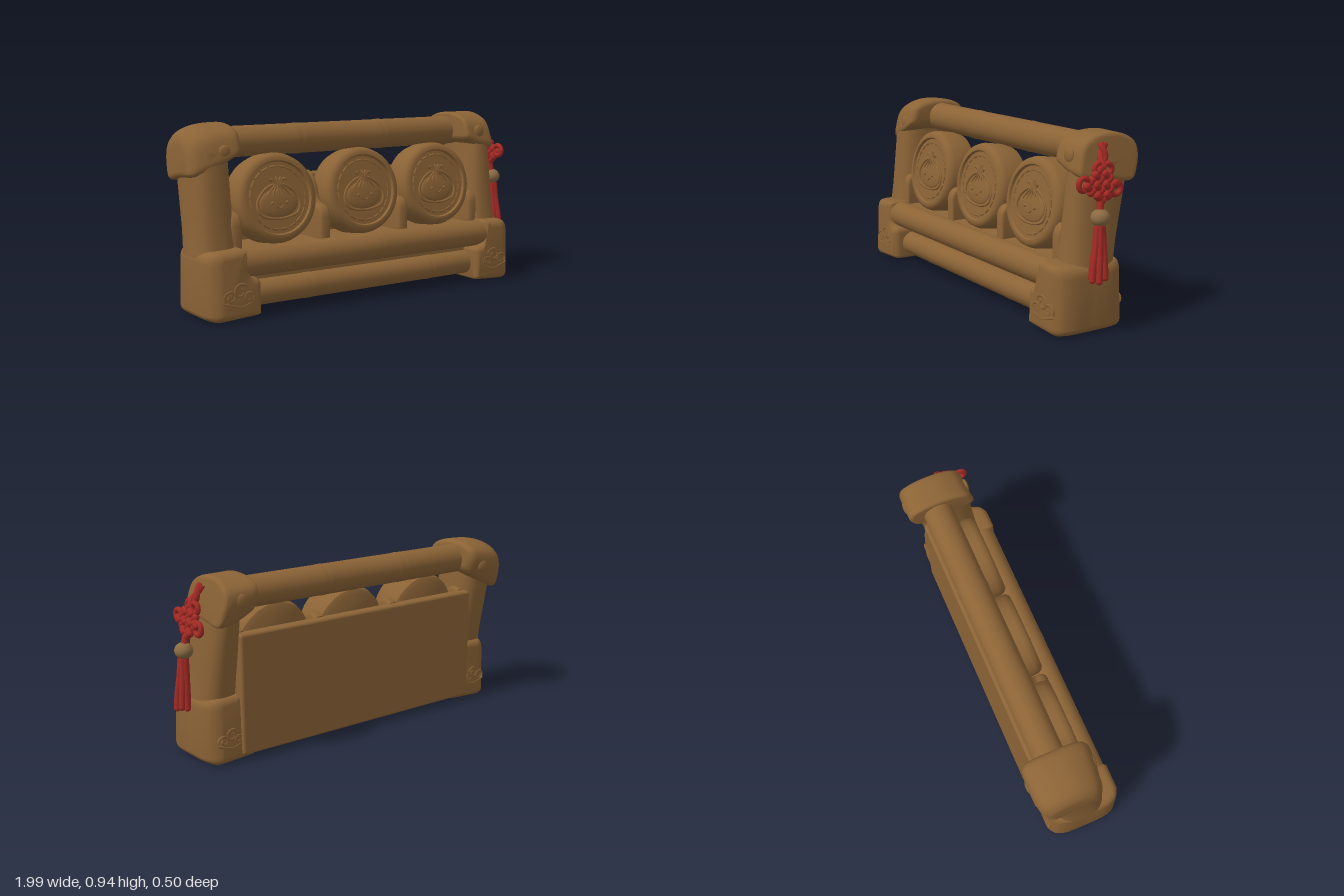
import * as THREE from 'three';
import { toCreasedNormals } from 'three/addons/utils/BufferGeometryUtils.js';
import { RoundedBoxGeometry } from 'three/addons/geometries/RoundedBoxGeometry.js';

const mat = (name, color) => Object.assign(new THREE.MeshStandardMaterial({ color }), { name });
const V = (x, y, z) => new THREE.Vector3(x, y, z);

export function createModel() {
  const wood = mat('bamboo brown', 0x8b6336);
  const red = mat('cord red', 0xa42a24);
  const beadMat = mat('bead tan', 0x8a6a42);
  const root = new THREE.Group();
  root.name = 'bambooBench';

  const add = (name, geo, m = wood, parent = root) => {
    const mesh = new THREE.Mesh(geo, m);
    mesh.name = name;
    parent.add(mesh);
    return mesh;
  };
  const group = (name, parent = root) => {
    const g = new THREE.Group();
    g.name = name;
    parent.add(g);
    return g;
  };
  const box = (name, x0, x1, y0, y1, z0, z1, r) =>
    add(name, new RoundedBoxGeometry(x1 - x0, y1 - y0, z1 - z0, 3, r))
      .position.set((x0 + x1) / 2, (y0 + y1) / 2, (z0 + z1) / 2);
  const cord = (name, pts, r, m, parent, closed = false) =>
    add(name, new THREE.TubeGeometry(new THREE.CatmullRomCurve3(pts, closed), pts.length * 5, r, 7, closed), m, parent);
  const bend = (geo, rule) => {
    const p = geo.attributes.position, v = V();
    for (let i = 0; i < p.count; i++) {
      rule(v.fromBufferAttribute(p, i));
      p.setXYZ(i, v.x, v.y, v.z);
    }
    return geo;
  };

  // Bamboo poles running along x, with slight swellings at the nodes
  const pole = (name, x0, x1, y, z, r, nodes) => {
    const pts = [[0, x0], [r, x0]];
    for (const n of nodes) pts.push([r, n - 0.03], [r * 1.03, n - 0.007], [r * 1.005, n], [r * 1.03, n + 0.007], [r, n + 0.03]);
    pts.push([r, x1], [0, x1]);
    const geo = new THREE.LatheGeometry(pts.map(p => new THREE.Vector2(...p)), 28);
    add(name, toCreasedNormals(geo.rotateZ(-Math.PI / 2), 0.9)).position.set(0, y, z);
  };
  pole('topRail', -0.8, 0.75, 0.832, -0.09, 0.079, [-0.31, 0.21]);
  pole('frontRail', -0.85, 0.82, 0.265, 0.163, 0.071, [0.03]);
  pole('lowerRail', -0.85, 0.82, 0.102, 0.13, 0.065, [-0.39, 0.39]);

  // Seat body and back panel
  box('seatBase', -0.8, 0.75, 0.035, 0.325, -0.15, 0.13, 0.015);
  box('backPanel', -0.8, 0.75, 0.03, 0.645, -0.167, -0.1, 0.015);

  // Armrest dividers between the cushions
  const side = new THREE.Shape();
  side.moveTo(-0.13, 0.3);
  side.lineTo(-0.13, 0.44);
  side.quadraticCurveTo(-0.12, 0.5, -0.07, 0.5);
  side.quadraticCurveTo(-0.03, 0.51, -0.01, 0.58);
  side.quadraticCurveTo(0.02, 0.66, 0.08, 0.665);
  side.lineTo(0.12, 0.65);
  side.lineTo(0.12, 0.3);
  for (const x of [-0.775, -0.262, 0.237, 0.725]) {
    const geo = new THREE.ExtrudeGeometry(side, { depth: 0.03, bevelThickness: 0.015, bevelSize: 0.015, bevelOffset: -0.015, bevelSegments: 3 });
    add('armrest', toCreasedNormals(geo.rotateY(Math.PI / 2), 0.7)).position.x = x - 0.015;
  }

  // Round cushions with a raised rim, stitched ring and dumpling relief
  const disc = [[0, -0.1], [0.195, -0.1], [0.22, -0.085], [0.228, -0.05], [0.228, 0.045], [0.22, 0.07],
    [0.203, 0.083], [0.186, 0.083], [0.18, 0.07], [0, 0.07]].map(p => new THREE.Vector2(...p));
  const bun = [[-0.03, 0.065], [-0.085, 0.035], [-0.122, -0.02], [-0.11, -0.075], [-0.05, -0.1], [0.05, -0.1],
    [0.11, -0.075], [0.122, -0.02], [0.085, 0.035], [0.03, 0.065]];
  const on = (pts, z = 0.071) => pts.map(([x, y]) => V(x, y, z));
  for (const x of [-0.525, -0.006, 0.485]) {
    const c = group('cushion');
    c.position.set(x, 0.547, 0.028);
    c.rotation.x = -0.15;
    add('cushionDisc', toCreasedNormals(new THREE.LatheGeometry(disc, 48).rotateX(Math.PI / 2), 0.7), wood, c);
    for (let i = 0; i < 20; i++) {
      const dash = add('stitch', new THREE.TorusGeometry(0.158, 0.006, 5, 4, 0.23), wood, c);
      dash.position.z = 0.07;
      dash.rotation.z = i * Math.PI / 10;
    }
    cord('dumplingOutline', on(bun), 0.007, wood, c, true);
    const body = add('dumplingBody', new THREE.SphereGeometry(1, 24, 12), wood, c);
    body.scale.set(0.11, 0.072, 0.012);
    body.position.set(0, -0.027, 0.07);
    for (const k of [-2, -1, 0, 1, 2]) {
      cord('pleat', on([[k * 0.008, 0.065], [k * 0.02, 0.04], [k * 0.034, 0.01]], 0.077), 0.005, wood, c);
      cord('frill', on([[k * 0.008, 0.065], [k * 0.015, 0.09], [k * 0.024, 0.108 - Math.abs(k) * 0.008]]), 0.008, wood, c);
    }
    for (const s of [-1, 1]) {
      add('eye', new THREE.SphereGeometry(0.008, 10, 8), wood, c).position.set(s * 0.042, -0.025, 0.081);
    }
    cord('smile', on([[-0.02, -0.04], [0, -0.052], [0.02, -0.04]], 0.082), 0.004, wood, c);
  }

  // Cloud relief made of three curls and a tail
  const cloud = (x, y, z, s, mirror) => {
    const g = group('cloudRelief');
    g.position.set(x, y, z);
    for (const [cx, cy, r, start, dir] of [[-0.042, -0.005, 0.036, 3.6, -1], [0.012, 0.02, 0.042, 0.2, 1], [0.055, -0.012, 0.03, -0.6, 1]]) {
      const pts = [];
      for (let i = 0; i <= 12; i++) {
        const a = start + dir * i * 0.62, q = r * (1 - i / 16);
        pts.push(V(mirror * s * (cx + q * Math.cos(a)), s * (cy + q * Math.sin(a)), 0));
      }
      cord('cloudCurl', pts, 0.007 * s, wood, g);
    }
    cord('cloudTail', [[-0.08, -0.03], [-0.03, -0.045], [0.02, -0.055], [0.07, -0.04]]
      .map(([a, b]) => V(mirror * s * a, s * b, 0)), 0.008 * s, wood, g);
  };

  // Cap outline seen from the side, as [-z, y]
  const capSide = new THREE.Shape(new THREE.CatmullRomCurve3([[-0.108, 0.745], [-0.105, 0.81], [-0.075, 0.885], [0, 0.925],
    [0.08, 0.935], [0.17, 0.92], [0.232, 0.88], [0.246, 0.83], [0.236, 0.77], [0.2, 0.705], [0.05, 0.72]]
    .map(([a, b]) => V(a, b, 0)), true).getPoints(50).slice(0, -1).map(p => new THREE.Vector2(p.x, p.y)));

  const ends = [
    { s: -1, out: 0.99, low: 0.70, up: 0.77, px: 0.873, rx: 0.11, taper: 0.05, capIn: 0.725, capOut: 1.0, bevel: 0.04, drop: 0.06, sag: 0.055, pinch: 0.2, lean: 0.01, knob: [-0.82, 0.8] },
    { s: 1, out: 0.93, low: 0.66, up: 0.735, px: 0.81, rx: 0.1, taper: 0.25, capIn: 0.69, capOut: 0.897, bevel: 0.02, drop: 0, sag: 0, pinch: 0.02, lean: 0.035, knob: [0.785, 0.83] },
  ];
  for (const e of ends) {
    const { s } = e;

    // Stepped foot with softened edges, rounded at its outer corners
    const foot = new THREE.Shape();
    foot.moveTo(s * e.low, 0.03);
    foot.lineTo(s * e.low, 0.165);
    foot.quadraticCurveTo(s * e.low, 0.195, s * (e.low + 0.03), 0.2);
    foot.quadraticCurveTo(s * e.up, 0.21, s * e.up, 0.25);
    foot.lineTo(s * e.up, 0.325);
    foot.quadraticCurveTo(s * e.up, 0.34, s * (e.up + 0.02), 0.34);
    foot.lineTo(s * (e.out - 0.06), 0.335);
    foot.quadraticCurveTo(s * (e.out - 0.005), 0.33, s * (e.out - 0.005), 0.27);
    foot.lineTo(s * e.out, 0.04);
    foot.quadraticCurveTo(s * e.out, 0.005, s * (e.out - 0.05), 0);
    foot.lineTo(s * (e.low + 0.03), 0.01);
    foot.quadraticCurveTo(s * e.low, 0.01, s * e.low, 0.03);
    const footGeo = new THREE.ExtrudeGeometry(foot, { depth: 0.325, steps: 10, bevelThickness: 0.04, bevelSize: 0.035, bevelOffset: -0.035, bevelSegments: 5 });
    footGeo.translate(0, 0, -0.115);
    bend(footGeo, v => {
      const u = Math.abs(v.z - 0.047) / 0.203, d = (Math.abs(v.x) - e.low) / (e.out - e.low);
      v.x -= s * 0.055 * u ** 5 * Math.max(0, d) ** 2;
      v.z = 0.047 + (v.z - 0.047) * (1 - 0.05 * v.y / 0.34);
    });
    add('foot', toCreasedNormals(footGeo, 0.7));
    cloud(s * (e.low + 0.135), 0.125, 0.242, 1, -s);
    cloud(s * (e.out - 0.115), 0.13, -0.148, 0.85, -s);

    // Leaning post with a squarish oval section, wider towards the top
    const post = bend(new THREE.CylinderGeometry(1, 1, 1, 40, 8), v => {
      const t = v.y + 0.5, round = q => Math.sign(q) * Math.abs(q) ** 0.75;
      const flare = 1 + 0.05 * Math.max(0, 1 - t * 5);
      v.x = s * e.px + round(v.x) * e.rx * (flare - e.taper * t);
      v.z = 0.022 - 0.075 * t + round(v.z) * (0.13 + 0.028 * t) * flare;
      v.y = 0.3 + 0.5 * t;
    });
    add('post', toCreasedNormals(post, 0.7));

    // Rounded cap wrapping the post top
    const len = e.capOut - e.capIn;
    const cap = new THREE.ExtrudeGeometry(capSide, { depth: len - 2 * e.bevel, steps: 8, bevelThickness: e.bevel, bevelSize: e.bevel, bevelOffset: -e.bevel, bevelSegments: 5 });
    cap.rotateY(Math.PI / 2).translate((s > 0 ? e.capIn : -e.capOut) + e.bevel, 0, 0);
    bend(cap, v => {
      const t = (Math.abs(v.x) - e.capIn) / len, h = (v.y - 0.705) / 0.23;
      v.x -= s * e.lean * t * h;
      v.y += (0.07 * (1 - t) ** 2 - e.sag * t) * (1 - h) - e.drop * t ** 4 * h;
      v.z = -0.07 + (v.z + 0.07) * (1 - e.pinch * t ** 5);
    });
    add('cap', toCreasedNormals(cap, 0.7));
    for (const z of [0.1, -0.238]) {
      const knob = add('capPeg', new THREE.SphereGeometry(0.036, 20, 12));
      knob.position.set(e.knob[0], e.knob[1], z);
      knob.scale.z = 0.4;
    }
  }

  // Hanging cord, knot, bead and tassel on the left side
  const charm = group('knotCharm');
  for (const k of [0, Math.PI]) {
    const pts = [];
    for (let i = 0; i <= 10; i++) {
      const t = i / 10, a = k + t * 5;
      pts.push(V(0.868 + 0.045 * t + 0.008 * Math.sin(a), 0.888 - 0.1 * t, -0.03 + 0.035 * t + 0.013 * Math.cos(a)));
    }
    cord('hangingCord', pts, 0.0155, red, charm);
  }
  const knotX = y => 0.918 + (0.72 - y) * 0.15;
  for (const [y, z, r] of [[0.717, 0.115, 0.029], [0.683, -0.067, 0.03], [0.782, 0.022, 0.025], [0.775, -0.026, 0.025]]) {
    const loop = add('knotLoop', new THREE.TorusGeometry(r, 0.0135, 8, 24).rotateY(Math.PI / 2), red, charm);
    loop.position.set(knotX(y), y, z);
  }
  for (let i = 0; i < 4; i++) for (let j = 0; j < 4; j++) {
    const a = (i - 1.5) * 0.033, b = (j - 1.5) * 0.033;
    const y = 0.705 + (a + b) * 0.72, z = 0.02 + (a - b) * 0.8;
    const strand = add('knotStrand', new THREE.CapsuleGeometry(0.019, 0.014, 4, 10), red, charm);
    strand.position.set(knotX(y) + ((i + j) % 2 ? 0.008 : 0), y, z);
    strand.rotation.x = (i + j) % 2 ? 0.8 : -0.8;
  }
  cord('knotStem', [V(0.927, 0.66, 0.025), V(0.936, 0.62, 0.032), V(0.944, 0.57, 0.036)], 0.018, red, charm);
  const bead = add('bead', new THREE.SphereGeometry(0.046, 24, 16), beadMat, charm);
  bead.position.set(0.945, 0.56, 0.037);
  bead.scale.y = 0.9;
  const collar = add('tasselCollar', new THREE.CylinderGeometry(0.023, 0.03, 0.05, 14), red, charm);
  collar.position.set(0.947, 0.505, 0.042);
  for (let i = 0; i < 6; i++) {
    const a = i * Math.PI / 3 + 0.3, c = Math.cos(a), q = Math.sin(a), foot = 0.268 + (i % 3) * 0.006;
    cord('tasselStrand', [V(0.947 + c * 0.012, 0.52, 0.042 + q * 0.014), V(0.95 + c * 0.016, 0.43, 0.044 + q * 0.022),
      V(0.954 + c * 0.022, 0.34, 0.049 + q * 0.034), V(0.956 + c * 0.024, foot, 0.051 + q * 0.039)], 0.0165, red, charm);
    add('tasselTip', new THREE.SphereGeometry(0.0165, 10, 8), red, charm)
      .position.set(0.956 + c * 0.024, foot, 0.051 + q * 0.039);
  }
  return root;
}
